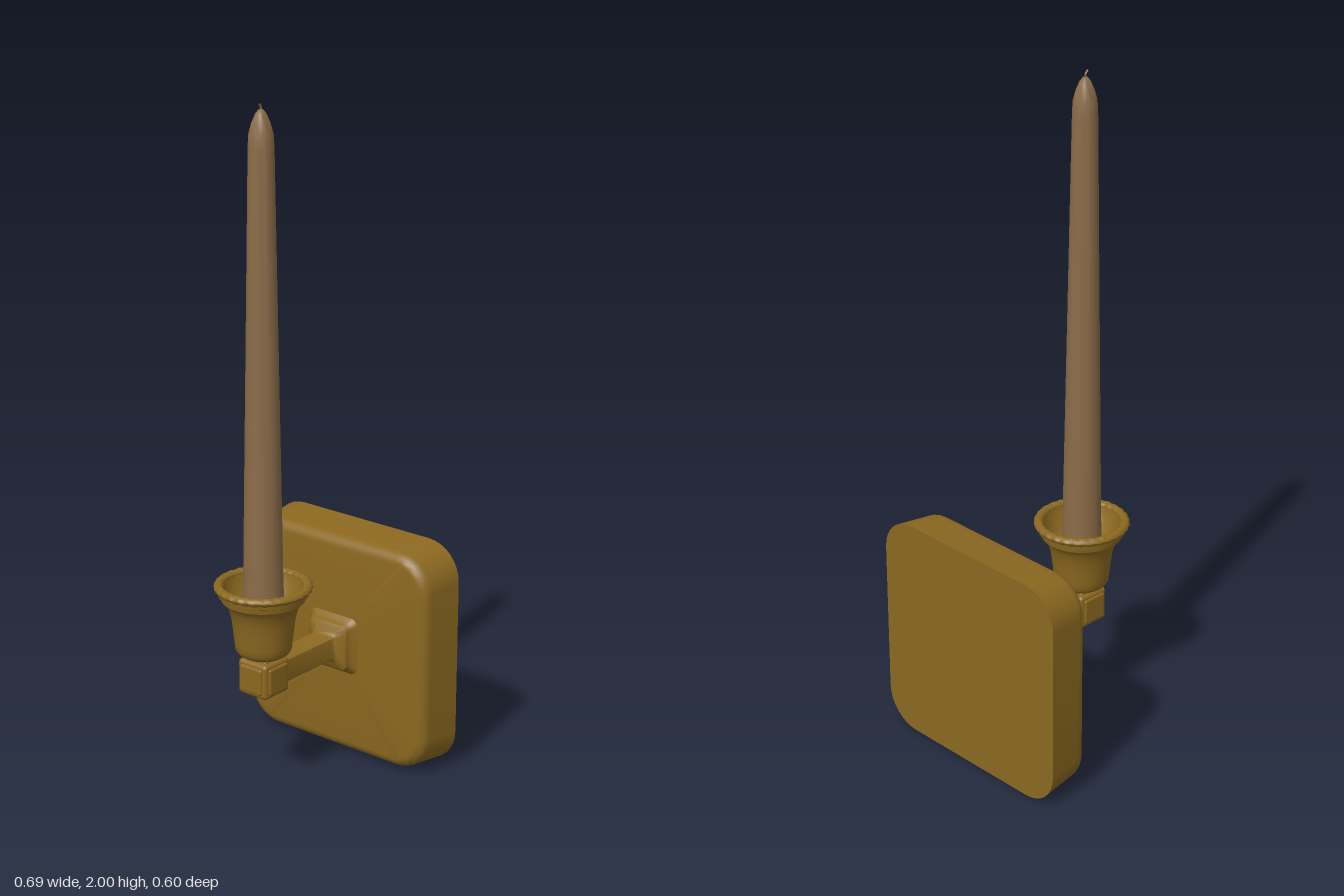
import * as THREE from 'three';
import { toCreasedNormals } from 'three/addons/utils/BufferGeometryUtils.js';
import { RoundedBoxGeometry } from 'three/addons/geometries/RoundedBoxGeometry.js';

const AXIS_Z = 0.158; // candle axis
const ARM_Y = 0.352; // arm height

// Rounded-square rings [z, half width, corner radius] joined into a capped solid
function loftSquares(rings, steps = 8) {
  const pos = [], index = [];
  const n = 4 * (steps + 1);
  for (const [z, half, radius] of rings) {
    for (let corner = 0; corner < 4; corner++) {
      const mid = (corner + 0.5) * Math.PI / 2;
      const cx = Math.sign(Math.cos(mid)) * (half - radius);
      const cy = Math.sign(Math.sin(mid)) * (half - radius);
      for (let s = 0; s <= steps; s++) {
        const a = (corner + s / steps) * Math.PI / 2;
        pos.push(cx + radius * Math.cos(a), cy + radius * Math.sin(a), z);
      }
    }
  }
  for (let i = 0; i < rings.length - 1; i++) {
    for (let j = 0; j < n; j++) {
      const a = i * n + j, b = i * n + (j + 1) % n;
      index.push(a, b, b + n, a, b + n, a + n);
    }
  }
  const last = (rings.length - 1) * n;
  const back = pos.length / 3;
  pos.push(0, 0, rings[0][0], 0, 0, rings[rings.length - 1][0]);
  for (let j = 0; j < n; j++) {
    const k = (j + 1) % n;
    index.push(back, k, j, back + 1, last + j, last + k);
  }
  const geo = new THREE.BufferGeometry();
  geo.setAttribute('position', new THREE.Float32BufferAttribute(pos, 3));
  geo.setIndex(index);
  return toCreasedNormals(geo, 0.6);
}

function lathe(points, segments) {
  const geo = new THREE.LatheGeometry(points.map(([r, y]) => new THREE.Vector2(r, y)), segments);
  return toCreasedNormals(geo, 0.7);
}

export function createModel() {
  const model = new THREE.Group();
  model.name = 'candleSconce';
  const brass = new THREE.MeshStandardMaterial({ color: 0x8b6820 });
  brass.name = 'agedBrass';
  const wax = new THREE.MeshStandardMaterial({ color: 0x8b6b48 });
  wax.name = 'tanWax';

  const add = (name, geo, mat, x, y, z, parent = model) => {
    const mesh = new THREE.Mesh(geo, mat);
    mesh.name = name;
    mesh.position.set(x, y, z);
    parent.add(mesh);
    return mesh;
  };

  // Wall plate: tapering sides and a rounded front edge
  const plate = [[-0.302, 0.346, 0.11]];
  for (let i = 0; i <= 6; i++) {
    const a = (i / 6) * Math.PI / 2;
    plate.push([-0.192 + 0.035 * Math.sin(a), 0.302 + 0.034 * Math.cos(a), 0.076 + 0.034 * Math.cos(a)]);
  }
  add('wallPlate', loftSquares(plate), brass, 0, 0.346, 0);

  // Square arm with a moulded flare against the plate
  add('arm', loftSquares([
    [-0.16, 0.09, 0.022], [-0.155, 0.087, 0.022], [-0.147, 0.077, 0.02], [-0.137, 0.073, 0.02],
    [-0.128, 0.07, 0.02], [-0.122, 0.062, 0.018], [-0.118, 0.05, 0.014], [-0.11, 0.04, 0.009],
    [-0.1, 0.036, 0.006], [0.12, 0.036, 0.006],
  ], 4), brass, 0, ARM_Y, 0);

  // Cube joint with a raised panel on each face
  const joint = new THREE.Group();
  joint.name = 'cubeJoint';
  joint.position.set(0, ARM_Y, AXIS_Z);
  model.add(joint);
  add('jointCore', new RoundedBoxGeometry(0.106, 0.106, 0.106, 3, 0.012), brass, 0, 0, 0, joint);
  for (const size of [[0.118, 0.08, 0.08], [0.08, 0.118, 0.08], [0.08, 0.08, 0.118]]) {
    add('jointPanel', new RoundedBoxGeometry(...size, 2, 0.006), brass, 0, 0, 0, joint);
  }

  // Bell-shaped cup, outside then inside
  add('cup', lathe([
    [0, 0.395], [0.035, 0.395], [0.038, 0.412], [0.06, 0.415], [0.074, 0.424], [0.081, 0.436],
    [0.083, 0.455], [0.087, 0.49], [0.092, 0.53], [0.1, 0.56], [0.112, 0.58], [0.12, 0.585],
    [0.122, 0.598], [0.13, 0.602], [0.132, 0.615], [0.125, 0.626], [0.113, 0.622],
    [0.108, 0.605], [0.098, 0.585], [0.086, 0.565], [0.07, 0.552], [0, 0.55],
  ], 40), brass, 0, 0, AXIS_Z);

  // Twisted rope rim: ridges spiral round the ring
  const rope = new THREE.TorusGeometry(0.1265, 0.0145, 12, 168);
  const p = rope.attributes.position;
  for (let i = 0; i < p.count; i++) {
    const u = Math.atan2(p.getY(i), p.getX(i));
    const d = Math.hypot(p.getX(i), p.getY(i)) - 0.1265;
    const v = Math.atan2(p.getZ(i), d);
    const k = 0.95 + 0.09 * Math.cos(28 * u + 2 * v);
    const r = 0.1265 + d * k;
    p.setXYZ(i, r * Math.cos(u), r * Math.sin(u), p.getZ(i) * k * 0.85);
  }
  rope.rotateX(-Math.PI / 2);
  rope.computeVertexNormals();
  add('ropeRim', rope, brass, 0, 0.623, AXIS_Z);

  // Tapered candle with a pointed tip
  add('candle', lathe([
    [0, 0.545], [0.06, 0.545], [0.057, 0.65], [0.036, 1.88], [0.034, 1.915],
    [0.026, 1.945], [0.015, 1.97], [0.007, 1.98], [0, 1.982],
  ], 20), wax, 0, 0, AXIS_Z);

  // Bent wick
  const wickPath = new THREE.CatmullRomCurve3([
    new THREE.Vector3(0, 1.975, 0), new THREE.Vector3(0, 1.989, 0.001), new THREE.Vector3(0, 1.998, 0.009),
  ]);
  add('wick', new THREE.TubeGeometry(wickPath, 6, 0.003, 6), wax, 0, 0, AXIS_Z);

  return model;
}
